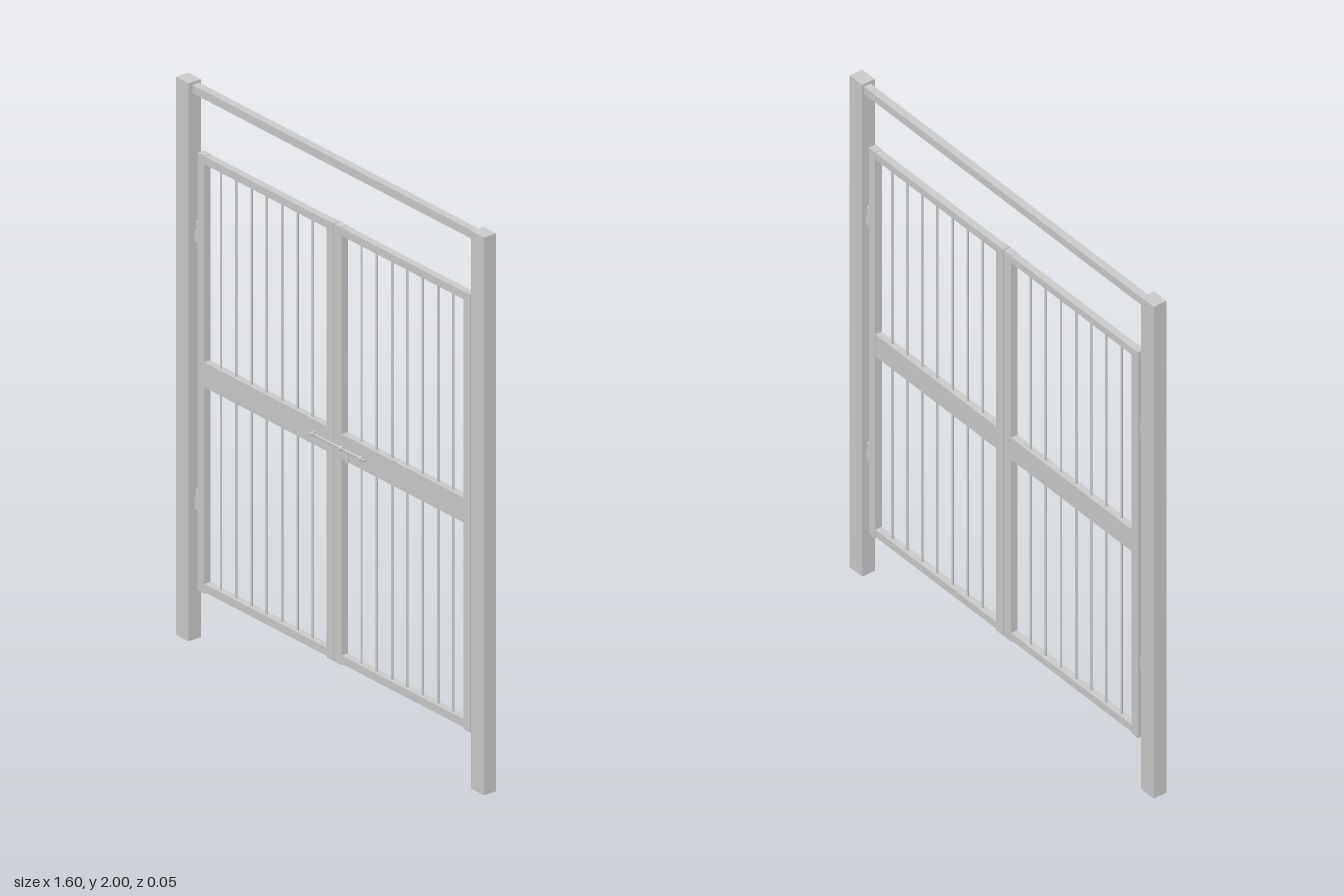
import * as THREE from 'three';

export function createModel() {
  const gate = new THREE.Group();
  gate.name = 'doubleGate';
  const grey = new THREE.MeshStandardMaterial({ color: 0xcccccc });
  const greyOpen = new THREE.MeshStandardMaterial({ color: 0xcccccc, side: THREE.DoubleSide });

  function add(parent, name, geometry, material = grey) {
    const mesh = new THREE.Mesh(geometry, material);
    mesh.name = name;
    parent.add(mesh);
    return mesh;
  }
  // Box given by its extents on each axis
  function box(parent, name, x0, x1, y0, y1, z0, z1) {
    const g = new THREE.BoxGeometry(Math.abs(x1 - x0), y1 - y0, z1 - z0);
    g.translate((x0 + x1) / 2, (y0 + y1) / 2, (z0 + z1) / 2);
    return add(parent, name, g);
  }
  // Round bar between two points
  function rod(parent, name, from, to, radius, sides = 12) {
    const a = new THREE.Vector3(...from), b = new THREE.Vector3(...to);
    const mesh = add(parent, name, new THREE.CylinderGeometry(radius, radius, a.distanceTo(b), sides));
    mesh.position.copy(a).add(b).multiplyScalar(0.5);
    mesh.quaternion.setFromUnitVectors(new THREE.Vector3(0, 1, 0), b.sub(a).normalize());
    return mesh;
  }

  const back = -0.019, front = 0.009, mid = (back + front) / 2;

  for (const s of [-1, 1]) {
    const side = s > 0 ? 'left' : 'right';

    // Square hollow post: capped on top, open at the foot
    const post = new THREE.BoxGeometry(0.066, 2, 0.052);
    const index = Array.from(post.index.array);
    index.splice(18, 6);
    post.setIndex(index);
    post.translate(s * 0.766, 1, 0);
    add(gate, side + 'Post', post, greyOpen);

    // Leaf frame
    const leaf = new THREE.Group();
    leaf.name = side + 'Leaf';
    gate.add(leaf);
    box(leaf, 'outerStile', s * 0.674, s * 0.707, 0.188, 1.757, back, front);
    box(leaf, 'innerStile', s * 0.002, s * 0.039, 0.188, 1.757, back, front);
    for (const [name, y0, y1] of [['bottomRail', 0.193, 0.222], ['middleRail', 0.927, 1.016], ['topRail', 1.727, 1.755]]) {
      box(leaf, name, s * 0.039, s * 0.674, y0, y1, back + 0.001, front - 0.001);
    }

    // Seven vertical bars above and below the middle rail
    for (let i = 0; i < 7; i++) {
      const x = s * (0.126 + i * 0.0795);
      rod(leaf, 'lowerBar', [x, 0.222, mid], [x, 0.927, mid], 0.004);
      rod(leaf, 'upperBar', [x, 1.016, mid], [x, 1.727, mid], 0.004);
    }

    // Hinges: upright pin next to the post, knuckle block on the leaf
    for (const y of [0.468, 1.428]) {
      const hinge = new THREE.Group();
      hinge.name = side + 'Hinge';
      gate.add(hinge);
      rod(hinge, 'hingePin', [s * 0.724, y, mid], [s * 0.724, y + 0.072, mid], 0.006);
      box(hinge, 'hingeKnuckle', s * 0.707, s * 0.722, y, y + 0.036, mid - 0.006, mid + 0.006);
      box(hinge, 'hingeLug', s * 0.724, s * 0.734, y, y + 0.036, mid - 0.006, mid + 0.006);
    }
  }

  // Beam across the posts
  box(gate, 'topBeam', -0.734, 0.734, 1.96, 1.99, back, front);

  // Sliding bolt held by collars, with a hanging handle
  const bolt = new THREE.Group();
  bolt.name = 'bolt';
  gate.add(bolt);
  const y = 0.97, z = 0.016;
  rod(bolt, 'boltRod', [-0.11, y, z], [0.17, y, z], 0.004);
  for (const x of [-0.098, 0.05, 0.15]) {
    rod(bolt, 'boltCollar', [x - 0.006, y, z], [x + 0.006, y, z], 0.0085, 16);
    box(bolt, 'collarFoot', x - 0.004, x + 0.004, y - 0.004, y + 0.004, front - 0.002, z);
  }
  rod(bolt, 'boltHandle', [0.077, y, z], [0.077, 0.932, z], 0.005);
  rod(bolt, 'handleGrip', [0.077, 0.95, z], [0.077, 0.932, z], 0.007);

  return gate;
}
